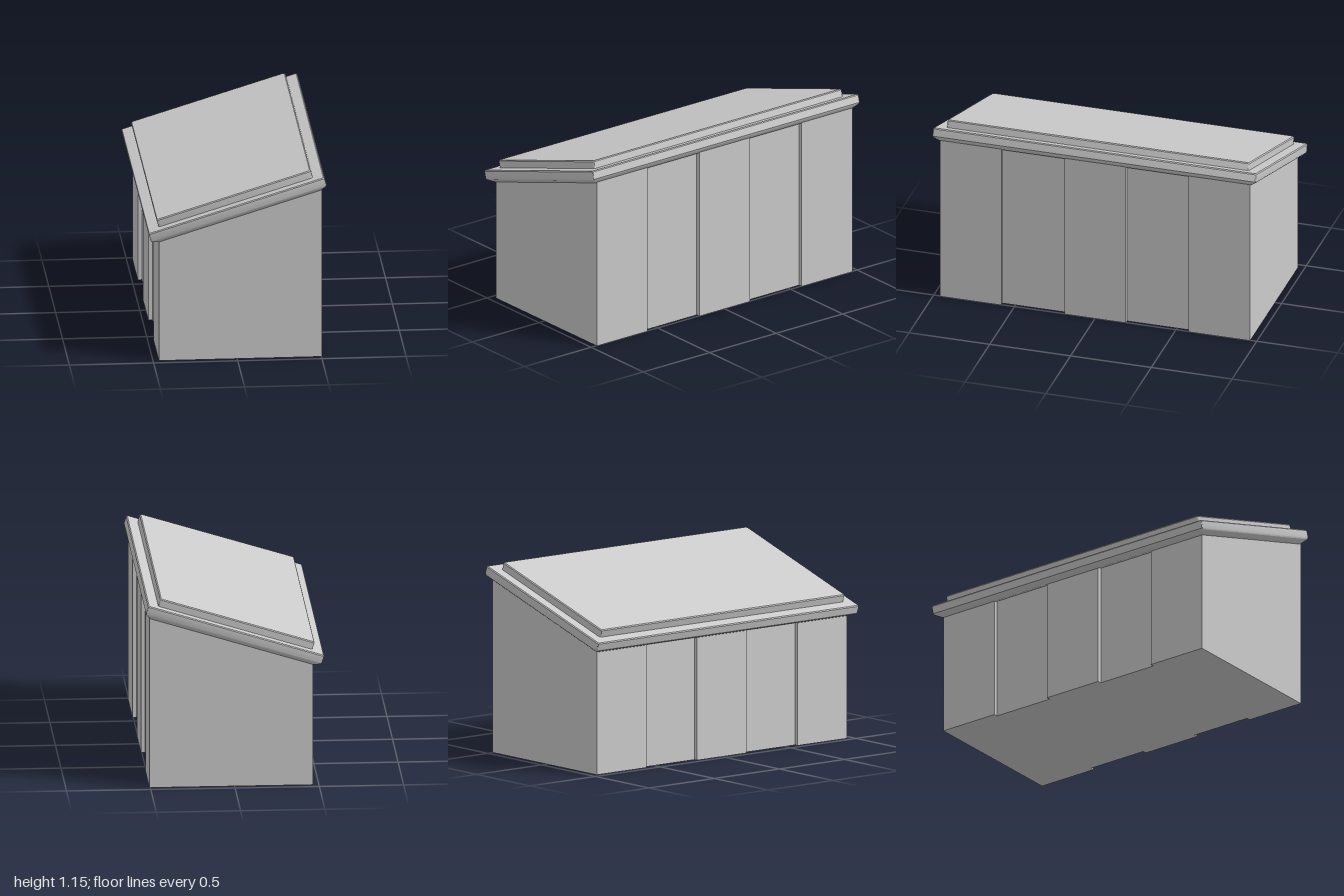
import * as THREE from 'three';
import { toCreasedNormals } from 'three/addons/utils/BufferGeometryUtils.js';

const SLOPE = 0.309;      // roof rise per unit of x
const EAVE_MID = 0.884;   // underside of the roof at x = 0

// Outline of a rectangle with rounded corners, as [u, z] points
function roundedRing(halfU, halfZ, r) {
  const pts = [];
  const signs = [[1, 1], [-1, 1], [-1, -1], [1, -1]];
  signs.forEach(([su, sz], i) => {
    for (let k = 0; k <= 3; k++) {
      const a = (i + k / 3) * Math.PI / 2;
      pts.push([su * (halfU - r) + r * Math.cos(a), sz * (halfZ - r) + r * Math.sin(a)]);
    }
  });
  return pts;
}

// Slab lofted through levels of [height, halfU, halfZ], closed at both ends
function slab(levels, radius) {
  const pos = [], index = [];
  const rings = levels.map(([v, hu, hz]) => {
    const start = pos.length / 3;
    roundedRing(hu, hz, radius).forEach(([u, z]) => pos.push(u, v, z));
    return start;
  });
  const n = 16;
  const bottom = pos.length / 3, top = bottom + 1;
  pos.push(0, levels[0][0], 0, 0, levels[levels.length - 1][0], 0);
  const last = rings[rings.length - 1];
  for (let i = 0; i < n; i++) {
    const j = (i + 1) % n;
    for (let k = 0; k < rings.length - 1; k++) {
      const a = rings[k], b = rings[k + 1];
      index.push(a + i, b + i, b + j, a + i, b + j, a + j);
    }
    index.push(bottom, rings[0] + i, rings[0] + j);
    index.push(top, last + j, last + i);
  }
  const geo = new THREE.BufferGeometry();
  geo.setAttribute('position', new THREE.Float32BufferAttribute(pos, 3));
  geo.setIndex(index);
  return toCreasedNormals(geo, 0.5);
}

// Walls: plan with two recessed bays on each long side, top cut to the roof slope
function wallGeometry() {
  const xl = -0.465, xr = 0.505, zEnd = 0.96, d = 0.025;
  const steps = [-0.58, -0.19, 0.19, 0.58];
  const right = [[xr, -zEnd]], left = [[xl, -zEnd]];
  steps.forEach((z, i) => {
    const before = i % 2 ? d : 0, after = d - before;
    right.push([xr - before, z], [xr - after, z]);
    left.push([xl + before, z], [xl + after, z]);
  });
  right.push([xr, zEnd]);
  left.push([xl, zEnd]);
  const outline = [...right, ...left.reverse()].map(([x, z]) => new THREE.Vector2(x, z));
  const geo = new THREE.ExtrudeGeometry(new THREE.Shape(outline), { depth: 1, bevelEnabled: false });
  geo.rotateX(-Math.PI / 2);
  const p = geo.attributes.position;
  for (let i = 0; i < p.count; i++) {
    p.setY(i, p.getY(i) > 0.5 ? EAVE_MID + SLOPE * p.getX(i) + 0.008 : 0);
  }
  geo.computeVertexNormals();
  return geo;
}

export function createModel() {
  const model = new THREE.Group();
  model.name = 'shed';
  const material = new THREE.MeshStandardMaterial({ color: 0xcccccc });
  const add = (parent, name, geo) => {
    const mesh = new THREE.Mesh(geo, material);
    mesh.name = name;
    parent.add(mesh);
    return mesh;
  };

  add(model, 'walls', wallGeometry());

  // Tilted roof: chamfered rim slab with a raised panel on top
  const roof = new THREE.Group();
  roof.name = 'roof';
  roof.position.y = EAVE_MID;
  roof.rotation.z = Math.atan(SLOPE);
  model.add(roof);

  add(roof, 'roofRim', slab([
    [0, 0.508, 0.963], [0.022, 0.541, 0.996], [0.03, 0.546, 1],
    [0.074, 0.546, 1], [0.08, 0.541, 0.995],
  ], 0.006)).position.x = 0.016;

  add(roof, 'roofPanel', slab([
    [0.07, 0.479, 0.935], [0.121, 0.479, 0.935], [0.127, 0.474, 0.93],
  ], 0.012)).position.x = 0.018;

  return model;
}
